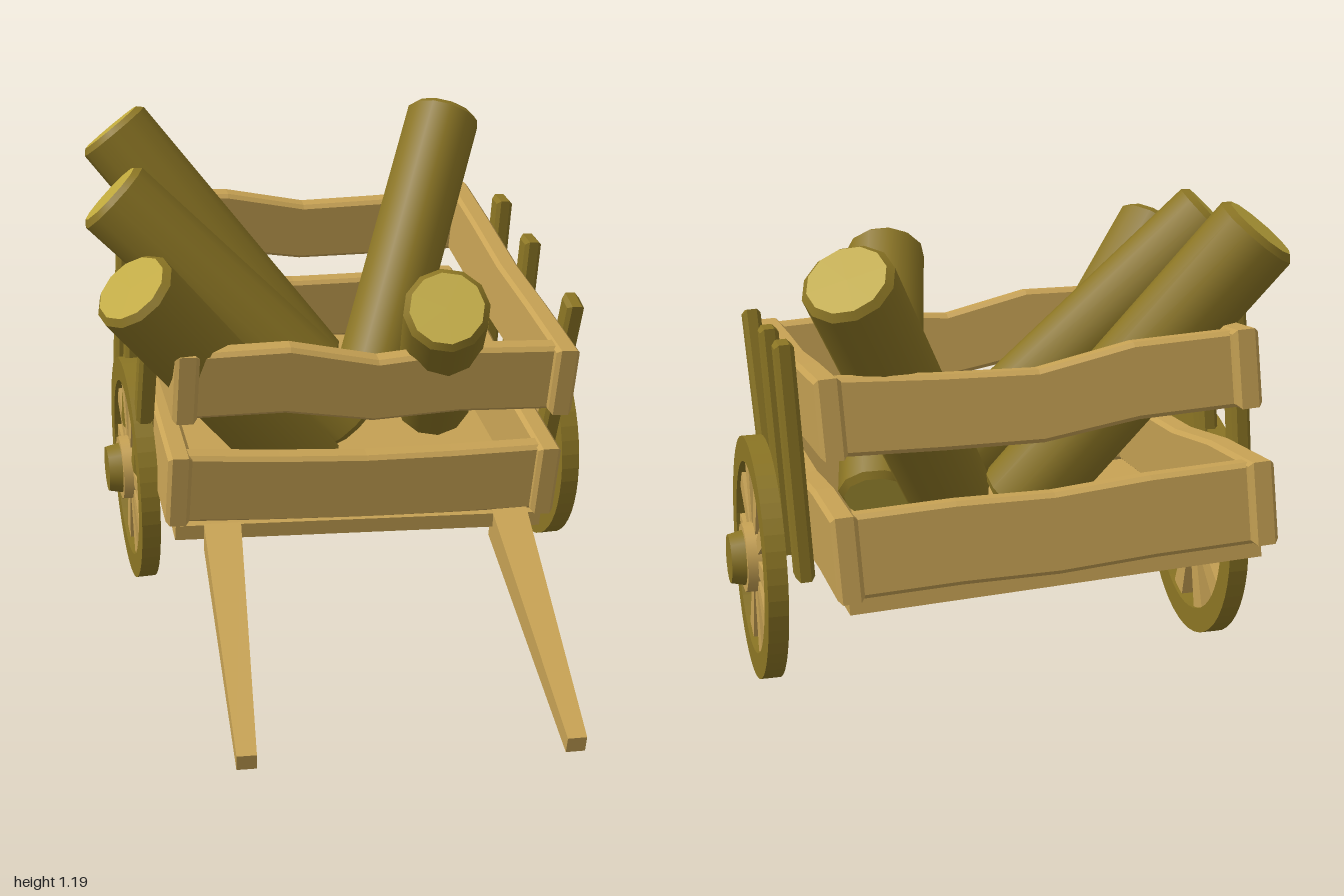
import * as THREE from 'three';

const wood = new THREE.MeshStandardMaterial({ color: 0xc7a254 });
wood.name = 'pale wood';
const bark = new THREE.MeshStandardMaterial({ color: 0x8b7524 });
bark.name = 'olive bark';
const cut = new THREE.MeshStandardMaterial({ color: 0xbfa83c });
cut.name = 'cut timber';

function add(parent, geometry, material, name) {
  const mesh = new THREE.Mesh(geometry, material);
  mesh.name = name;
  parent.add(mesh);
  return mesh;
}

// Bevelled plank along x from u0 to u1; its long edges follow the offsets in wave
function plank(u0, u1, y0, y1, thick, wave) {
  const b = 0.01;
  const at = (i) => THREE.MathUtils.lerp(u0 + b, u1 - b, i / (wave.length - 1));
  const low = wave.map((w, i) => new THREE.Vector2(at(i), y0 + b + w * 0.7));
  const high = wave.map((w, i) => new THREE.Vector2(at(i), y1 - b + w));
  const geometry = new THREE.ExtrudeGeometry(new THREE.Shape([...low, ...high.reverse()]), {
    depth: thick - 2 * b, bevelEnabled: true, bevelSize: b, bevelThickness: b, bevelSegments: 1,
  });
  return geometry.translate(0, 0, b - thick / 2);
}

// Log between two points, with chamfered ends and pale cut faces
function makeLog(foot, top) {
  const log = new THREE.Group();
  log.name = 'log';
  const a = new THREE.Vector3(...foot), b = new THREE.Vector3(...top);
  const r = 0.105, ch = 0.015, len = a.distanceTo(b);
  add(log, new THREE.CylinderGeometry(r, r, len - 2 * ch, 12, 1, true), bark, 'logBark');
  for (const s of [1, -1]) {
    const end = new THREE.Group();
    end.rotation.x = s > 0 ? 0 : Math.PI;
    log.add(end);
    add(end, new THREE.CylinderGeometry(r - ch, r, ch, 12, 1, true), bark, 'logChamfer')
      .position.y = len / 2 - ch / 2;
    const face = add(end, new THREE.CircleGeometry(r - ch, 12), cut, 'logEnd');
    face.geometry.rotateX(-Math.PI / 2).rotateY(Math.PI / 2);
    face.position.y = len / 2;
  }
  log.position.copy(a).lerp(b, 0.5);
  log.quaternion.setFromUnitVectors(new THREE.Vector3(0, 1, 0), b.sub(a).normalize());
  return log;
}

// Wheel facing local +x
function makeWheel() {
  const wheel = new THREE.Group();
  wheel.name = 'wheel';
  const ring = new THREE.Shape().absarc(0, 0, 0.297, 0, Math.PI * 2);
  ring.holes.push(new THREE.Path().absarc(0, 0, 0.235, 0, Math.PI * 2, true));
  add(wheel, new THREE.ExtrudeGeometry(ring, { depth: 0.048, bevelEnabled: false, curveSegments: 24 })
    .translate(0, 0, -0.024).rotateY(Math.PI / 2), bark, 'wheelRim');

  // Spokes widen toward the rim
  const wedge = new THREE.Shape([[-0.016, 0.06], [0.016, 0.06], [0.03, 0.24], [-0.03, 0.24]]
    .map(([x, y]) => new THREE.Vector2(x, y)));
  const spoke = new THREE.ExtrudeGeometry(wedge, { depth: 0.03, bevelEnabled: false })
    .translate(0, 0, -0.015).rotateY(Math.PI / 2);
  for (let i = 0; i < 10; i++) {
    add(wheel, spoke, wood, 'spoke').rotation.x = (i + 0.5) * Math.PI / 5;
  }
  const hub = (r0, r1, x0, x1, material, name) => add(wheel,
    new THREE.CylinderGeometry(r1, r0, x1 - x0, 14).rotateZ(-Math.PI / 2).translate((x0 + x1) / 2, 0, 0),
    material, name);
  hub(0.09, 0.085, -0.04, 0.04, wood, 'hub');
  hub(0.068, 0.06, 0.04, 0.075, bark, 'hubCap');
  return wheel;
}

export function createModel() {
  const model = new THREE.Group();
  model.name = 'logCart';

  // Tilted cart body
  const body = new THREE.Group();
  body.name = 'cartBody';
  body.position.set(0.105, 0.343, -0.315);
  body.rotation.set(0.138, -0.436, 0);
  model.add(body);
  add(body, new THREE.BoxGeometry(0.95, 0.04, 1.05), wood, 'floor').position.set(0.01, 0.02, 0.03);

  // Side boards: centre x, z range, y range, wave
  const sides = [
    [0.485, -0.55, 0.565, 0.04, 0.232, [0, 0.005, -0.01, 0, 0]],
    [-0.46, -0.55, 0.555, 0.04, 0.232, [0, 0, -0.02, -0.015, 0]],
    [0.485, -0.5, 0.59, 0.345, 0.525, [0, -0.005, -0.015, -0.005, 0]],
    [-0.46, -0.5, 0.585, 0.345, 0.525, [0, -0.005, -0.04, -0.035, 0]],
  ];
  for (const [x, z0, z1, y0, y1, wave] of sides) {
    add(body, plank(z0, z1, y0, y1, 0.06, wave).rotateY(-Math.PI / 2), wood, 'sideBoard').position.x = x;
  }
  // End boards: centre z, y range, wave
  const ends = [
    [0.515, 0.04, 0.228, [0, -0.01, -0.015, -0.01, 0]],
    [-0.5, 0.04, 0.228, [0, 0, -0.01, 0, 0]],
    [0.535, 0.345, 0.52, [0, 0.012, -0.028, 0, 0]],
    [-0.445, 0.345, 0.52, [0, 0, -0.035, -0.02, 0]],
  ];
  for (const [z, y0, y1, wave] of ends) {
    add(body, plank(-0.44, 0.465, y0, y1, 0.055, wave), wood, 'endBoard').position.z = z;
  }

  // Upright stakes: x, foot z, top z
  const stakes = [
    [0.545, 0.33, 0.41], [0.545, 0.06, 0.03], [0.545, -0.21, -0.25],
    [-0.515, 0.24, 0.3], [-0.515, 0.0, -0.03], [-0.515, -0.23, -0.27],
  ];
  for (const [x, z0, z1] of stakes) {
    const dy = 0.56, dz = z1 - z0;
    const post = add(body, plank(-0.033, 0.033, -dy / 2, dy / 2, 0.045, [0, 0]).rotateY(Math.PI / 2),
      bark, 'stake');
    post.position.set(x, 0.3, (z0 + z1) / 2);
    post.rotation.x = Math.atan2(dz, dy);
  }

  // Tapered pull handles: thick end under the floor, thin end near the ground
  const handles = [
    [[0.25, 0.255, 0.33], [-0.105, 0.034, 0.98]],
    [[-0.45, 0.305, 0.05], [-0.79, 0.08, 0.645]],
  ];
  for (const [from, to] of handles) {
    const a = new THREE.Vector3(...from), b = new THREE.Vector3(...to);
    const len = a.distanceTo(b);
    const geometry = new THREE.CylinderGeometry(0.032, 0.065, len, 4, 1)
      .rotateY(Math.PI / 4).translate(0, len / 2, 0).rotateX(Math.PI / 2).toNonIndexed();
    geometry.computeVertexNormals();
    const handle = add(model, geometry, wood, 'handle');
    handle.position.copy(a);
    handle.lookAt(b);
  }

  // Wheels, hubs outward
  const right = makeWheel();
  right.position.set(0.635, 0.313, 0.01);
  right.rotation.y = -0.41;
  const left = makeWheel();
  left.position.set(-0.405, 0.313, -0.44);
  left.rotation.y = Math.PI - 0.41;
  model.add(right, left);

  // Load of logs: foot, top
  const logs = [
    [[0.35, 0.43, -0.1], [-0.035, 0.92, 0.41]],
    [[0.24, 0.46, -0.24], [0.71, 1.11, -0.5]],
    [[0.17, 0.47, -0.41], [-0.23, 1.15, -0.79]],
    [[0.03, 0.48, -0.03], [-0.465, 1.09, -0.405]],
    [[-0.12, 0.37, -0.04], [-0.65, 0.985, -0.005]],
  ];
  for (const [foot, top] of logs) model.add(makeLog(foot, top));

  return model;
}
